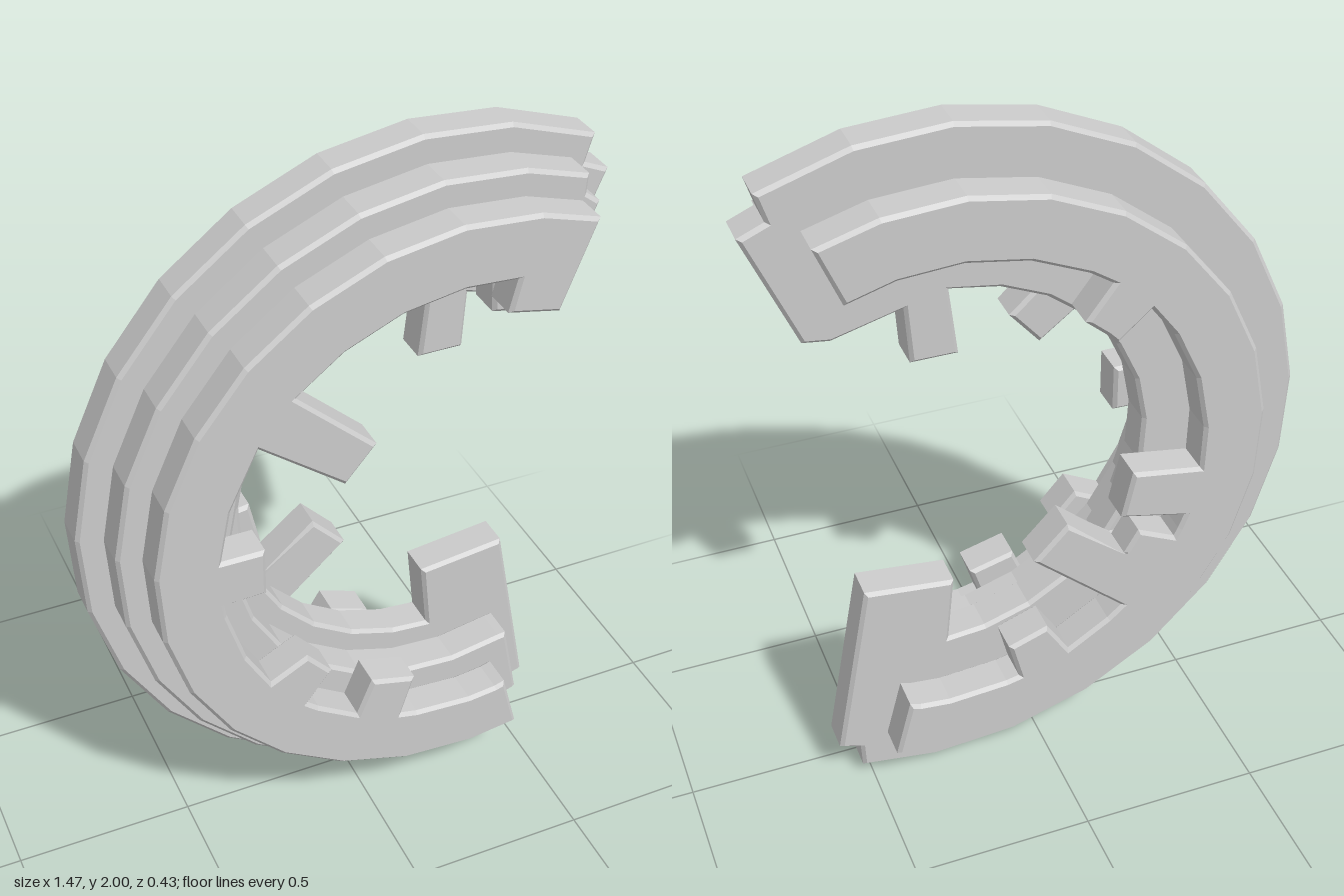
import * as THREE from 'three';

const CX = 0.26, CY = 1.0, STEP = 360 / 26, PHASE = 93, BEVEL = 0.01;

// Point at radius r and angle in degrees about the ring axis
const polar = (r, deg) => {
  const a = THREE.MathUtils.degToRad(deg);
  return [CX + r * Math.cos(a), CY + r * Math.sin(a)];
};

// Faceted arc: both ends plus the shared facet corners between them
function arc(r, from, to) {
  const lo = Math.min(from, to), hi = Math.max(from, to);
  const mids = [];
  for (let k = -4; k < 26; k++) {
    const a = PHASE + k * STEP;
    if (a > lo + 1.5 && a < hi - 1.5) mids.push(a);
  }
  if (from > to) mids.reverse();
  return [from, ...mids, to].map(a => polar(r, a));
}

// One bevelled plate of the ring between z0 and z1
function plate(name, z0, z1, points) {
  const shape = new THREE.Shape(points.map(p => new THREE.Vector2(p[0], p[1])));
  const geo = new THREE.ExtrudeGeometry(shape, {
    depth: z1 - z0 - 2 * BEVEL, bevelEnabled: true, bevelSegments: 1,
    bevelSize: BEVEL, bevelOffset: -BEVEL, bevelThickness: BEVEL,
  });
  geo.translate(0, 0, z0 + BEVEL);
  const mesh = new THREE.Mesh(geo,
    new THREE.MeshStandardMaterial({ color: 0xcccccc, flatShading: true }));
  mesh.name = name;
  return mesh;
}

export function createModel() {
  const group = new THREE.Group();
  group.name = 'brokenToothedRing';

  // Front plate: long upper tooth, square middle tooth, short lower teeth
  group.add(plate('frontToothedPlate', 0.105, 0.212, [
    ...arc(0.865, 68, 283), [0.41, 0.33],
    ...arc(0.69, 280, 255), [0.12, 0.46], [-0.01, 0.495],
    ...arc(0.69, 243, 228), [-0.13, 0.58], [-0.2, 0.66],
    ...arc(0.69, 215, 187), [-0.31, 0.92], [-0.31, 1.06],
    ...arc(0.69, 175, 147), [-0.09, 1.2], [-0.005, 1.3],
    ...arc(0.69, 134, 81), [0.345, 1.59], [0.49, 1.56],
  ]));

  // Plain plate with stepped ends
  group.add(plate('steppedPlate', -0.003, 0.105, [
    ...arc(0.93, 68, 282.5), [0.455, 0.16], [0.51, 0.18], [0.465, 0.41],
    ...arc(0.62, 287, 81), [0.36, 1.53], [0.53, 1.49],
    [0.645, 1.78], [0.605, 1.81],
  ]));

  // Widest plate with a broad block at the lower end and an upper tooth
  group.add(plate('outerPlate', -0.11, -0.003, [
    ...arc(1, 65, 285.5), [0.53, 0.11], [0.59, 0.13], [0.49, 0.67], [0.24, 0.64],
    ...arc(0.56, 270, 93), [0.21, 1.37], [0.335, 1.37], [0.345, 1.53],
    [0.53, 1.48], [0.6, 1.49], [0.73, 1.8], [0.66, 1.83],
  ]));

  // Back plate: long lower tooth and several short ones
  group.add(plate('backToothedPlate', -0.217, -0.11, [
    ...arc(0.865, 68, 283), [0.41, 0.33],
    ...arc(0.69, 280, 256), ...arc(0.57, 256, 244),
    ...arc(0.69, 243, 227), [0.05, 0.73], [-0.045, 0.83], [-0.22, 0.675],
    ...arc(0.57, 214, 206), ...arc(0.69, 206, 200), [-0.2, 0.81], [-0.23, 0.95],
    ...arc(0.69, 187, 139), ...arc(0.57, 139, 127),
    ...arc(0.69, 127, 68),
  ]));

  return group;
}
